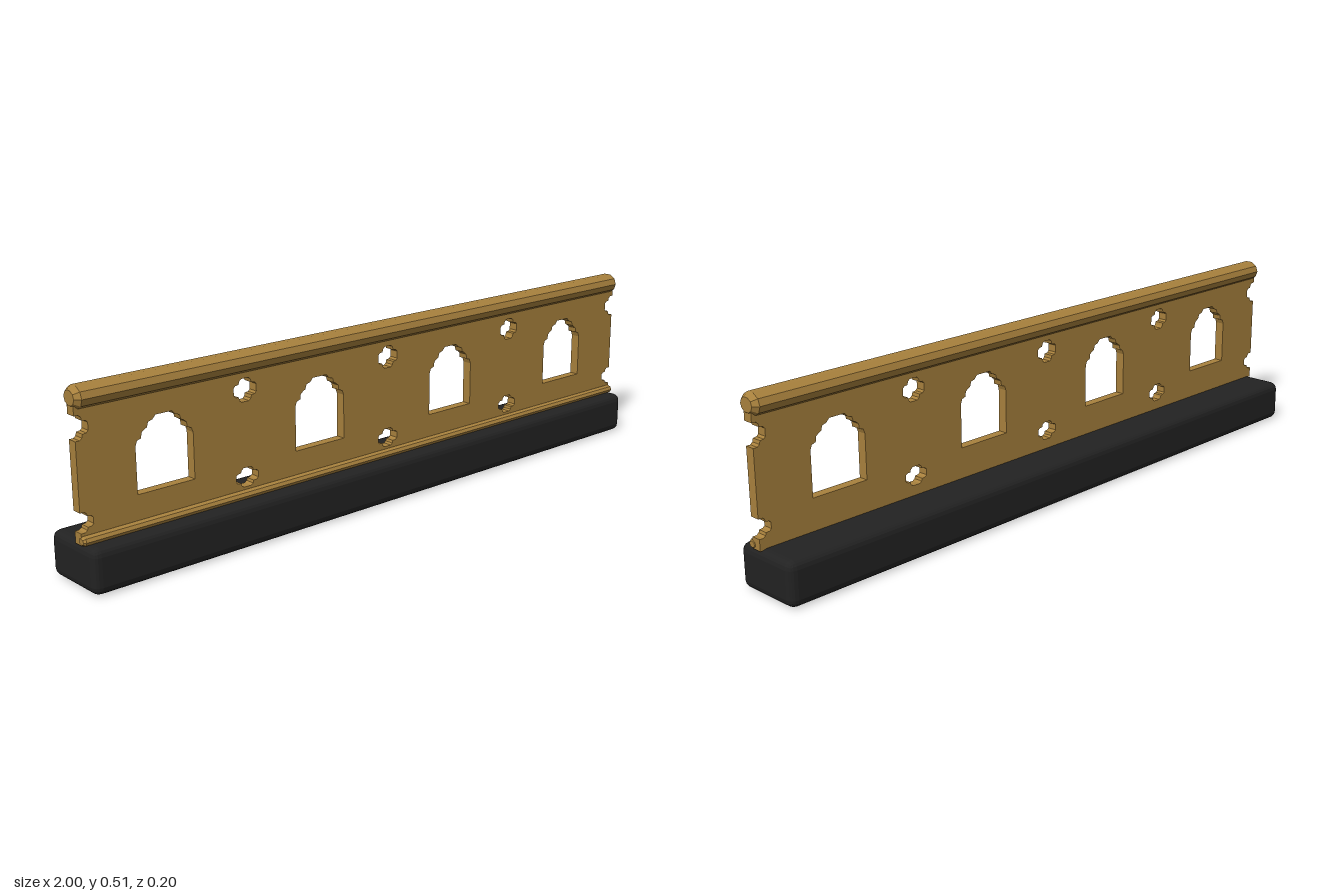
import * as THREE from 'three';
import { RoundedBoxGeometry } from 'three/addons/geometries/RoundedBoxGeometry.js';

const PANEL_Z = 0.031, PANEL_DEPTH = 0.028;
const FOILS = [{ y: 0.41, rx: 0.036, ry: 0.031 }, { y: 0.175, rx: 0.036, ry: 0.026 }];

// One right-hand half of a four-lobed opening, from bottom to top
function foilHalf() {
  const q = [[1, 0.32], [0.85, 0.5], [0.56, 0.54], [0.5, 0.82], [0.32, 1]];
  return [...q.slice().reverse().map(([x, y]) => [x, -y]), ...q];
}

function toPath(points) {
  return new THREE.Path(points.map(([x, y]) => new THREE.Vector2(x, y)));
}

function foilHole(cx, f) {
  const half = foilHalf();
  const all = [...half, ...half.map(([x, y]) => [-x, -y])];
  return toPath(all.map(([x, y]) => [cx + x * f.rx, f.y + y * f.ry]));
}

// Window opening with a stepped, scalloped arch
function archHole(cx) {
  const right = [[0.085, 0.208], [0.085, 0.332], [0.08, 0.345], [0.068, 0.349],
    [0.066, 0.363], [0.057, 0.37], [0.05, 0.373], [0.046, 0.386], [0.033, 0.39], [0.024, 0.4]];
  const left = right.slice().reverse().map(([x, y]) => [-x, y]);
  return toPath([...right, ...left].map(([x, y]) => [cx + x, y]));
}

// Pierced sheet, with half openings cut into both ends
function panelGeometry() {
  const W = 0.998, low = 0.118, high = 0.465;
  const end = [[W, low]];
  for (const f of [FOILS[1], FOILS[0]]) {
    end.push([W, f.y - f.ry]);
    for (const [x, y] of foilHalf()) end.push([W - x * f.rx, f.y + y * f.ry]);
    end.push([W, f.y + f.ry]);
  }
  end.push([W, high]);
  const outline = [...end, ...end.slice().reverse().map(([x, y]) => [-x, y])];
  const shape = new THREE.Shape(outline.map(([x, y]) => new THREE.Vector2(x, y)));
  for (const x of [-0.75, -0.25, 0.25, 0.75]) shape.holes.push(archHole(x));
  for (const x of [-0.5, 0, 0.5]) for (const f of FOILS) shape.holes.push(foilHole(x, f));
  return new THREE.ExtrudeGeometry(shape, { depth: PANEL_DEPTH, bevelEnabled: false })
    .translate(0, 0, PANEL_Z - PANEL_DEPTH / 2);
}

// Faceted bar along x with chamfered ends
function barGeometry(sides, ry, rz, y, z, chamfer) {
  const profile = [[0, -1], [0.65, -1], [1, -1 + chamfer], [1, 1 - chamfer], [0.65, 1], [0, 1]]
    .map(([r, t]) => new THREE.Vector2(r, t));
  return new THREE.LatheGeometry(profile, sides)
    .rotateZ(-Math.PI / 2)
    .scale(1, ry, rz)
    .translate(0, y, z);
}

export function createModel() {
  const brass = new THREE.MeshStandardMaterial({ color: 0xa8813d, flatShading: true });
  brass.name = 'brass';
  const black = new THREE.MeshStandardMaterial({ color: 0x222222, flatShading: true });
  black.name = 'black';

  const group = new THREE.Group();
  group.name = 'balustrade';
  const add = (name, geometry, material) => {
    const mesh = new THREE.Mesh(geometry, material);
    mesh.name = name;
    group.add(mesh);
  };

  add('base', new RoundedBoxGeometry(2, 0.121, 0.2, 2, 0.022).translate(0, 0.0605, 0), black);
  add('piercedPanel', panelGeometry(), brass);
  add('topRail', barGeometry(10, 0.03, 0.035, 0.483, PANEL_Z, 0.014), brass);
  add('bottomMoulding', barGeometry(8, 0.0125, 0.016, 0.1295, 0.0465, 0.006), brass);
  return group;
}
